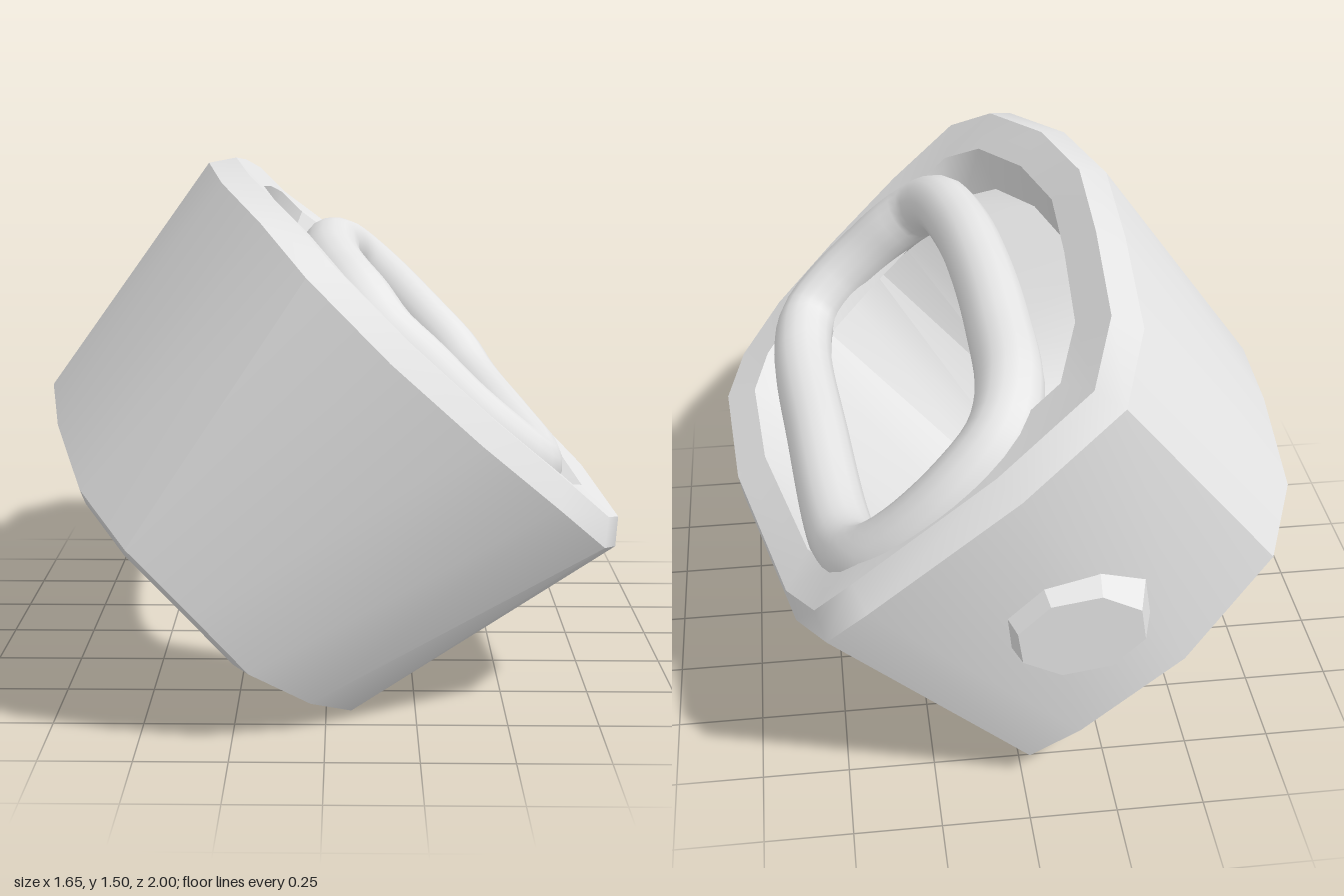
import * as THREE from 'three';
import { toCreasedNormals } from 'three/addons/utils/BufferGeometryUtils.js';

const vectors = (rows) => rows.map((r) => new THREE.Vector3(...r));

// Widest outline, below the upper chamfer
const upper = vectors([
  [-0.24, 1.30, -0.90], [-0.32, 1.405, -0.69], [-0.345, 1.46, -0.29], [-0.355, 1.49, 0.07],
  [-0.29, 1.46, 0.44], [-0.165, 1.385, 0.79], [-0.045, 1.27, 0.97], [0.165, 1.06, 1.0],
  [0.40, 0.84, 0.95], [0.61, 0.65, 0.86], [0.75, 0.51, 0.74], [0.81, 0.455, 0.54],
  [0.77, 0.48, 0], [0.62, 0.56, -0.72], [0.54, 0.65, -0.93], [0.43, 0.77, -0.975],
  [0.03, 1.09, -0.975],
]);

// Outline of the lower edge, point for point with the upper one
const lower = vectors([
  [-0.71, 0.68, -0.75], [-0.80, 0.77, -0.54], [-0.825, 0.82, -0.16], [-0.83, 0.83, 0.12],
  [-0.77, 0.77, 0.41], [-0.65, 0.68, 0.79], [-0.51, 0.57, 0.97], [-0.34, 0.39, 0.97],
  [-0.20, 0.22, 0.93], [-0.04, 0.09, 0.81], [0.07, 0.03, 0.71], [0.12, 0.005, 0.50],
  [0.10, 0.05, 0], [0.08, 0.07, -0.61], [-0.02, 0.09, -0.84], [-0.16, 0.20, -0.87],
  [-0.45, 0.43, -0.86],
]);

// Centre line of the ring in the mouth, in the same order
const ring = vectors([
  [0.06, 1.13, -0.74], [0.01, 1.17, -0.57], [0, 1.18, -0.25], [0.01, 1.185, 0.07],
  [0.04, 1.18, 0.38], [0.09, 1.15, 0.62], [0.15, 1.08, 0.73], [0.24, 1.00, 0.76],
  [0.34, 0.90, 0.77], [0.44, 0.81, 0.75], [0.53, 0.73, 0.68], [0.56, 0.70, 0.50],
  [0.53, 0.695, 0], [0.47, 0.715, -0.60], [0.42, 0.78, -0.75], [0.32, 0.88, -0.81],
  [0.17, 1.03, -0.81],
]);

const axis = new THREE.Vector3(0.7, 0.714, 0);
const upperCentre = new THREE.Vector3(0.23, 0.97, 0);
const lowerCentre = new THREE.Vector3(-0.35, 0.42, 0.04);

// Shrinks an outline about its centre and slides it along the axis
function inset(loop, centre, scale, shift) {
  return loop.map((p) => p.clone().sub(centre).multiplyScalar(scale).add(centre).addScaledVector(axis, shift));
}

// Joins outlines in order and closes the last one back to the first
function loftClosed(loops) {
  const n = loops[0].length;
  const index = [];
  loops.forEach((_, j) => {
    const k = (j + 1) % loops.length;
    for (let i = 0; i < n; i++) {
      const a = j * n + i, b = j * n + (i + 1) % n;
      const c = k * n + (i + 1) % n, d = k * n + i;
      index.push(a, b, c, a, c, d);
    }
  });
  const geometry = new THREE.BufferGeometry().setFromPoints(loops.flat());
  geometry.setIndex(index);
  return toCreasedNormals(geometry, 0.6);
}

export function createModel() {
  const group = new THREE.Group();
  const grey = new THREE.MeshStandardMaterial({ color: 0xe6e6e6 });
  grey.name = 'lightGrey';
  const add = (name, geometry) => {
    const mesh = new THREE.Mesh(geometry, grey);
    mesh.name = name;
    group.add(mesh);
    return mesh;
  };

  // Tilted shell: wide lower lip, outer wall, chamfered rim, groove and inner wall
  add('shell', loftClosed([
    inset(lower, lowerCentre, 0.71, -0.03),
    inset(lower, lowerCentre, 0.89, -0.045),
    lower,
    upper,
    inset(upper, upperCentre, 0.94, 0.065),
    inset(upper, upperCentre, 0.79, 0.055),
    inset(upper, upperCentre, 0.71, -0.06),
    ring,
  ]));

  // Rounded ring set in the mouth of the shell
  const ringPath = new THREE.CatmullRomCurve3(ring, true);
  add('mouthRing', new THREE.TubeGeometry(ringPath, 85, 0.095, 16, true));

  // Wide eight-sided knob on the back
  const knobShape = new THREE.CylinderGeometry(0.78, 1, 0.16, 8);
  knobShape.rotateY(Math.PI / 8);
  knobShape.rotateX(-Math.PI / 2);
  knobShape.scale(0.23, 0.165, 1);
  const knob = add('backKnob', toCreasedNormals(knobShape, 0.4));
  knob.position.set(-0.13, 0.66, -0.92);
  knob.rotation.z = -0.15;

  return group;
}
